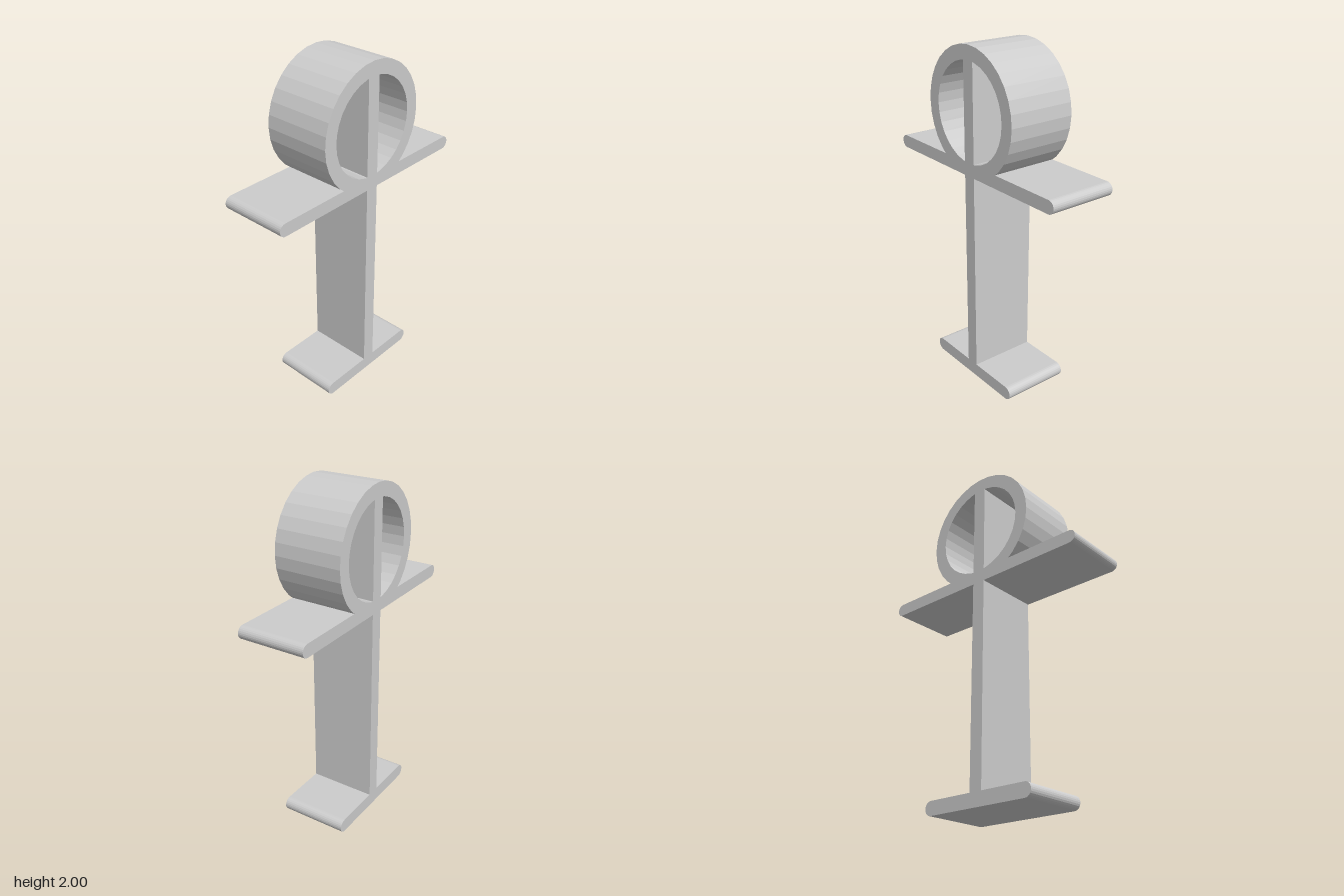
import * as THREE from 'three';

const DEPTH = 0.4;
const BAR_TOP = 1.36;
const RING_Y = 1.64;
const OUTER = 0.36;
const INNER = 0.28;

export function createModel() {
  const group = new THREE.Group();
  const grey = new THREE.MeshStandardMaterial({ color: 0xcccccc, flatShading: true });
  grey.name = 'light grey';

  const add = (name, geometry, y = 0) => {
    const mesh = new THREE.Mesh(geometry, grey);
    mesh.name = name;
    mesh.position.y = y;
    group.add(mesh);
    return mesh;
  };

  const extrude = (shape, curveSegments = 6) =>
    new THREE.ExtrudeGeometry(shape, { depth: DEPTH, bevelEnabled: false, curveSegments })
      .translate(0, 0, -DEPTH / 2);

  // Flat bar with half-round ends
  const roundedBar = (halfWidth, bottom, top) => {
    const r = (top - bottom) / 2;
    const mid = (top + bottom) / 2;
    const shape = new THREE.Shape();
    shape.absarc(halfWidth - r, mid, r, -Math.PI / 2, Math.PI / 2, false);
    shape.absarc(-halfWidth + r, mid, r, Math.PI / 2, Math.PI * 1.5, false);
    return extrude(shape);
  };

  // Upright between two heights
  const upright = (bottom, top) =>
    new THREE.BoxGeometry(0.08, top - bottom, DEPTH).translate(0, (top + bottom) / 2, 0);

  add('foot', roundedBar(0.36, 0, 0.08));
  add('post', upright(0.08, 1.285));
  add('crossbar', roundedBar(0.68, 1.285, BAR_TOP));
  add('ringDivider', upright(BAR_TOP, 1.92));

  // Half of a 32-sided ring, cut off flat where it meets the crossbar
  const step = Math.PI / 16;
  const point = (r, i) => new THREE.Vector2(r * Math.cos(i * step), r * Math.sin(i * step));
  const outline = [new THREE.Vector2(0.2236, BAR_TOP - RING_Y)];
  for (let i = -4; i <= 8; i++) outline.push(point(OUTER, i));
  for (let i = 8; i >= -8; i--) outline.push(point(INNER, i));
  const halfRing = extrude(new THREE.Shape(outline));

  add('ringLeft', halfRing, RING_Y);
  add('ringRight', halfRing, RING_Y).rotation.y = Math.PI;

  return group;
}
